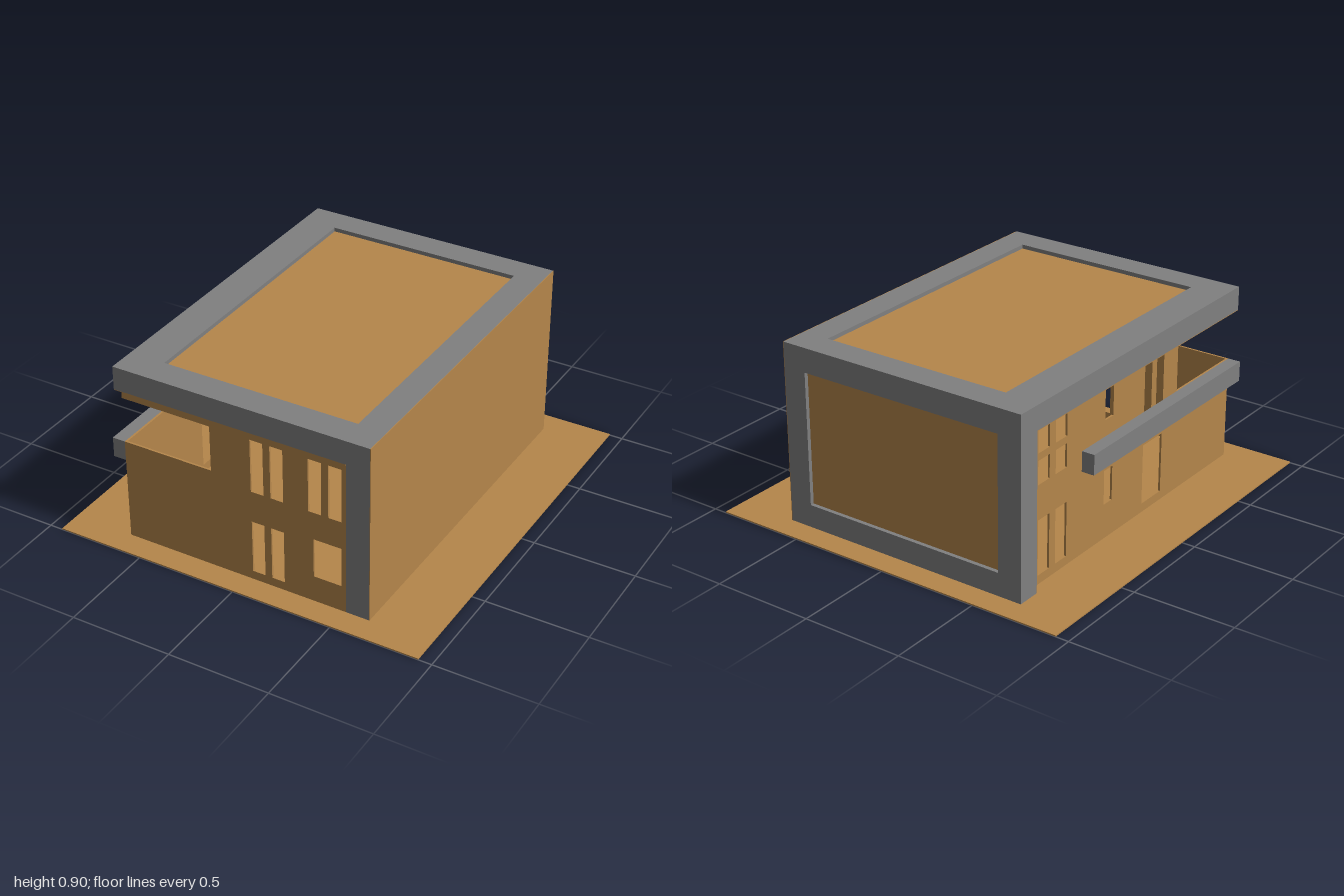
import * as THREE from 'three';

export function createModel() {
  const model = new THREE.Group();
  const brown = new THREE.MeshStandardMaterial({ color: 0xb5864b });
  brown.name = 'timber brown';
  const grey = new THREE.MeshStandardMaterial({ color: 0x808080 });
  grey.name = 'concrete grey';

  function add(name, geometry, material) {
    const mesh = new THREE.Mesh(geometry, material);
    mesh.name = name;
    model.add(mesh);
    return mesh;
  }

  // Box given by its limits on each axis
  function box(name, material, [x0, x1], [y0, y1], [z0, z1]) {
    const mesh = add(name, new THREE.BoxGeometry(x1 - x0, y1 - y0, z1 - z0), material);
    mesh.position.set((x0 + x1) / 2, (y0 + y1) / 2, (z0 + z1) / 2);
  }

  // Flat slab with rectangular holes [u0, u1, v0, v1]
  function slab(outline, holes, depth) {
    const shape = new THREE.Shape(outline.map(([u, v]) => new THREE.Vector2(u, v)));
    for (const [u0, u1, v0, v1] of holes) {
      shape.holes.push(new THREE.Path([
        new THREE.Vector2(u0, v0), new THREE.Vector2(u0, v1),
        new THREE.Vector2(u1, v1), new THREE.Vector2(u1, v0),
      ]));
    }
    return new THREE.ExtrudeGeometry(shape, { depth, bevelEnabled: false });
  }
  const rect = (u0, u1, v0, v1) => [[u0, v0], [u1, v0], [u1, v1], [u0, v1]];

  // Ground plate
  box('ground', brown, [-0.935, 0.935], [0, 0.006], [-1, 1]);

  // Roof: grey border, sunken panel, brown ceiling
  const roof = add('roofFrame', slab(rect(-0.67, 0.627, -0.88, 0.763), [[-0.49, 0.49, -0.74, 0.74]], 0.117), grey);
  roof.rotation.x = -Math.PI / 2;
  roof.position.y = 0.783;
  box('roofPanel', brown, [-0.49, 0.49], [0.783, 0.88], [-0.74, 0.74]);
  box('ceiling', brown, [-0.67, 0.51], [0.78, 0.783], [-0.763, 0.88]);

  // Back wall: grey border, sunken panel, brown lining
  add('backFrame', slab(rect(-0.67, 0.627, 0, 0.9), [[-0.55, 0.51, 0.12, 0.78]], 0.117), grey).position.z = -0.88;
  box('backPanel', brown, [-0.55, 0.51], [0.12, 0.78], [-0.86, -0.763]);
  box('backLining', brown, [-0.67, 0.51], [0, 0.78], [-0.763, -0.76]);

  // Solid left side wall: grey core, brown cladding on both faces
  box('sideWall', grey, [0.513, 0.627], [0, 0.783], [-0.763, 0.88]);
  box('sideLining', brown, [0.51, 0.513], [0, 0.78], [-0.76, 0.88]);
  box('sideCladding', brown, [0.627, 0.63], [0, 0.9], [-0.88, 0.88]);

  // Thin front wall, notched at the open balcony corner
  const frontOutline = [
    [-0.63, 0], [0.51, 0], [0.51, 0.78], [-0.63, 0.78],
    [-0.63, 0.75], [-0.17, 0.75], [-0.17, 0.52], [-0.63, 0.52],
  ];
  const frontWindows = [[0.35, 0.49, 0.14, 0.34]];
  for (const x of [0.035, 0.135]) {
    frontWindows.push([x, x + 0.065, 0.05, 0.32], [x, x + 0.065, 0.48, 0.75]);
  }
  for (const x of [0.325, 0.425]) frontWindows.push([x, x + 0.065, 0.48, 0.75]);
  add('frontWall', slab(frontOutline, frontWindows, 0.01), brown).position.z = 0.87;

  // Thin right wall, drawn along z, notched at the same corner
  const rightOutline = [
    [-0.76, 0], [0.87, 0], [0.87, 0.52], [0.41, 0.52],
    [0.41, 0.75], [0.87, 0.75], [0.87, 0.78], [-0.76, 0.78],
  ];
  const rightWindows = [
    [0.13, 0.29, 0.05, 0.35],
    [-0.19, -0.125, 0.18, 0.35], [-0.19, -0.125, 0.6, 0.75],
    [0.13, 0.19, 0.48, 0.75], [0.23, 0.29, 0.48, 0.75],
  ];
  for (const z of [-0.7, -0.57]) {
    rightWindows.push([z, z + 0.085, 0.05, 0.32], [z, z + 0.085, 0.49, 0.605], [z, z + 0.085, 0.64, 0.75]);
  }
  const rightWall = add('rightWall', slab(rightOutline, rightWindows, 0.01), brown);
  rightWall.rotation.y = -Math.PI / 2;
  rightWall.position.x = -0.62;

  // Ledge along the balcony
  box('balconyLedge', grey, [-0.695, -0.63], [0.42, 0.52], [-0.37, 0.88]);

  return model;
}
